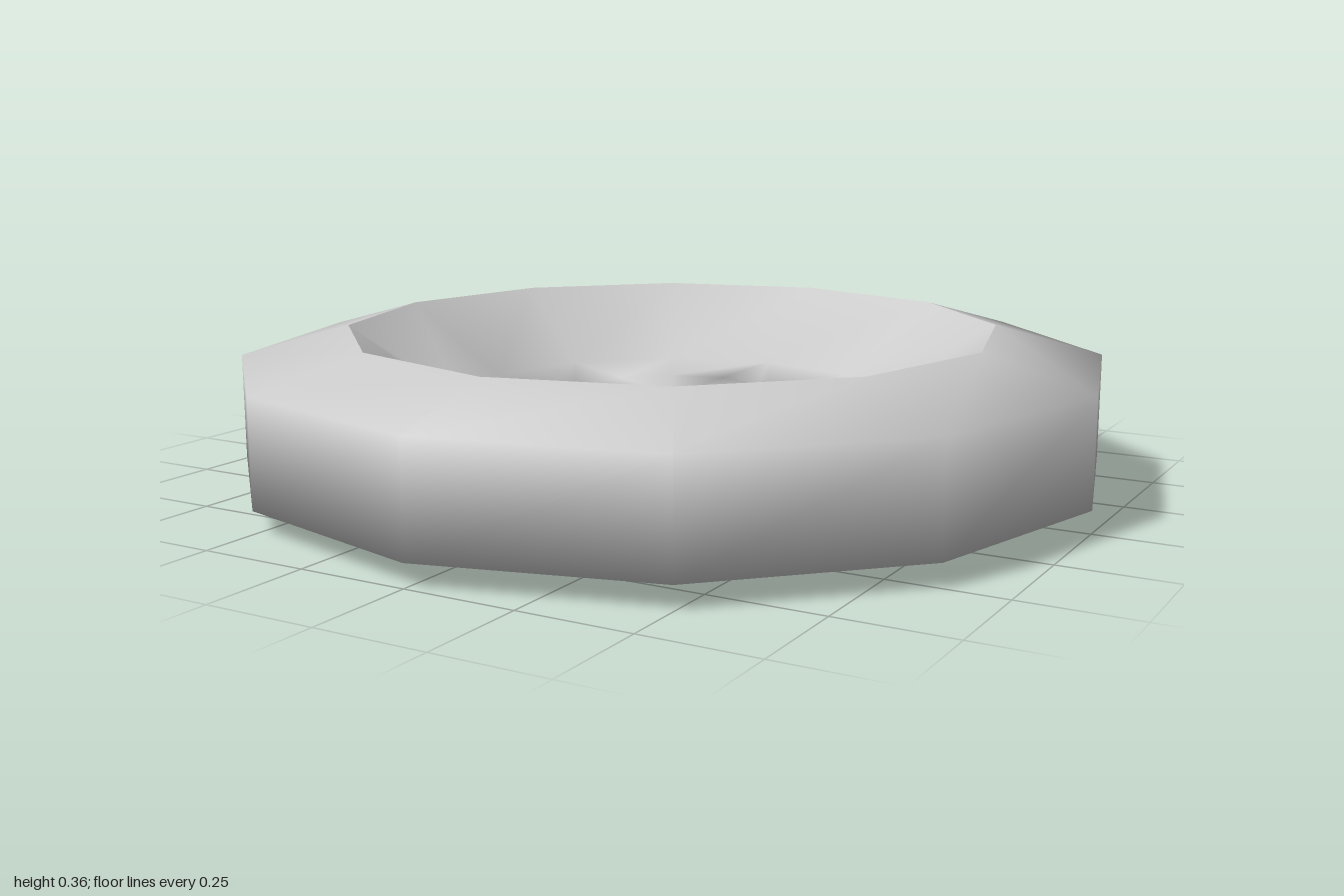
import * as THREE from 'three';

const SIDES = 12;

// Profile [radius, height] from the top centre, over the rim, to the bottom centre.
// The lip point appears twice so that the inner edge of the rim stays sharp.
const PROFILE = [
  [0, 0.195], [0.25, 0.195], [0.5, 0.195], [0.75, 0.36],
  [0.75, 0.36], [1, 0.29], [1, 0.05], [0.75, 0.05],
  [0.5, 0], [0.25, 0], [0, 0],
];
const LAST = PROFILE.length - 1;
const TOP_INNER = 1, TOP_OUTER = 2, BOTTOM_OUTER = 8, BOTTOM_INNER = 9;

function buttonGeometry() {
  const positions = [];
  const indices = [];

  // Rings of vertices; the two centre rings collapse to one vertex each
  const starts = PROFILE.map(([r, y]) => {
    const start = positions.length / 3;
    const count = r === 0 ? 1 : SIDES;
    for (let k = 0; k < count; k++) {
      const a = (k / SIDES) * Math.PI * 2;
      positions.push(r * Math.cos(a), y, r * Math.sin(a));
    }
    return start;
  });
  const at = (ring, k) => starts[ring] + (PROFILE[ring][0] === 0 ? 0 : k % SIDES);
  const quad = (a, b, c, d) => indices.push(a, b, c, a, c, d);

  for (let k = 0; k < SIDES; k++) {
    const n = k + 1;
    const hole = k % 3 === 0; // four thread holes

    for (let i = 0; i < LAST; i++) {
      if (i === 3) continue; // doubled lip
      if (hole && (i === TOP_INNER || i === BOTTOM_OUTER)) continue;
      if (i === 0) indices.push(at(0, 0), at(1, n), at(1, k));
      else if (i === LAST - 1) indices.push(at(i, k), at(i, n), at(LAST, 0));
      else quad(at(i, k), at(i, n), at(i + 1, n), at(i + 1, k));
    }

    // Walls of the thread hole
    if (hole) {
      const top = [at(TOP_INNER, k), at(TOP_INNER, n), at(TOP_OUTER, n), at(TOP_OUTER, k)];
      const low = [at(BOTTOM_INNER, k), at(BOTTOM_INNER, n), at(BOTTOM_OUTER, n), at(BOTTOM_OUTER, k)];
      for (let e = 0; e < 4; e++) {
        const f = (e + 1) % 4;
        quad(top[e], top[f], low[f], low[e]);
      }
    }
  }

  const geometry = new THREE.BufferGeometry();
  geometry.setAttribute('position', new THREE.Float32BufferAttribute(positions, 3));
  geometry.setIndex(indices);
  geometry.computeVertexNormals();
  return geometry;
}

export function createModel() {
  const group = new THREE.Group();
  group.name = 'button';
  const material = new THREE.MeshStandardMaterial({ color: 0xcccccc });
  const body = new THREE.Mesh(buttonGeometry(), material);
  body.name = 'buttonBody';
  group.add(body);
  return group;
}
